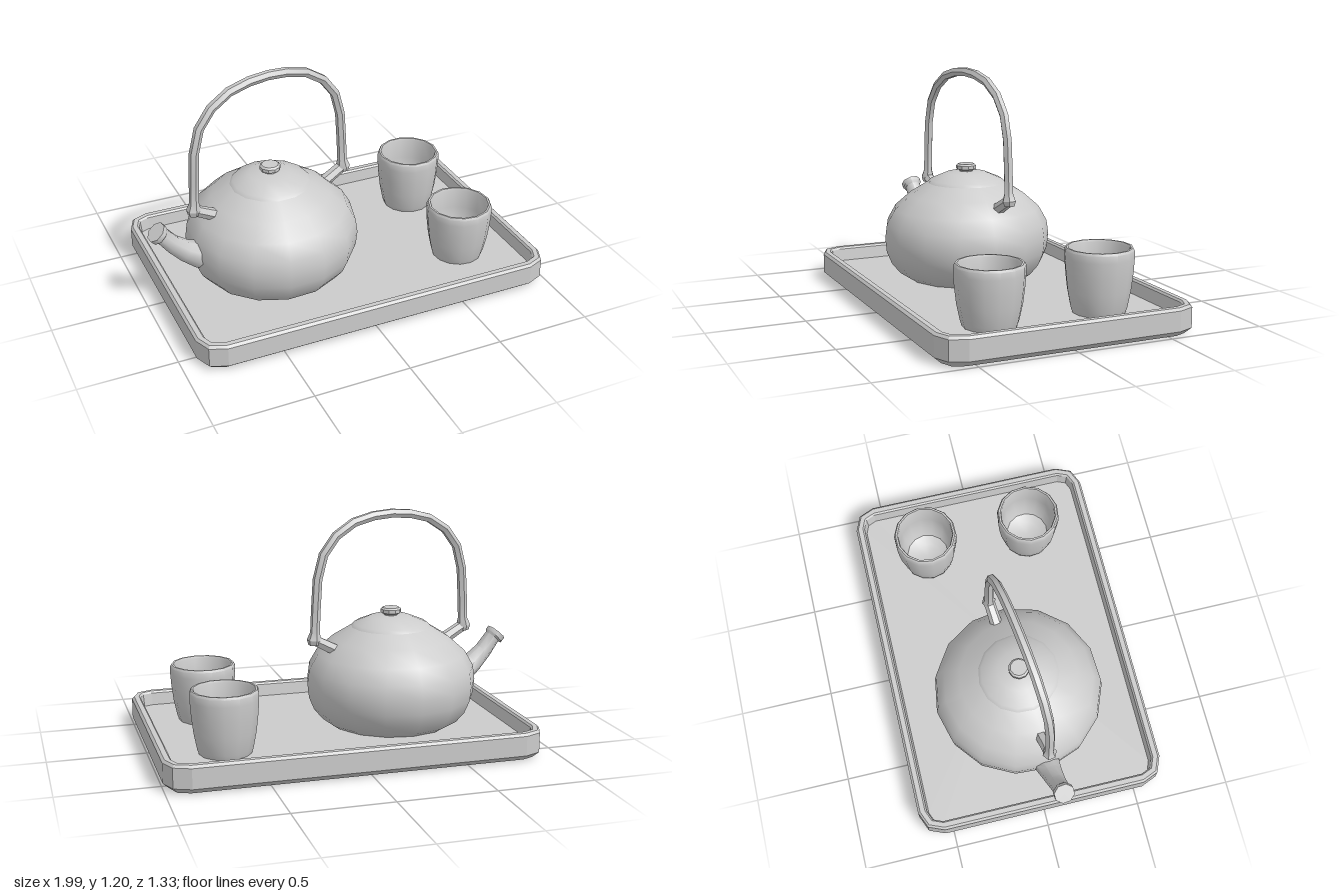
import * as THREE from 'three';
import { toCreasedNormals } from 'three/addons/utils/BufferGeometryUtils.js';

const material = new THREE.MeshStandardMaterial({ color: 0xcccccc });

function addMesh(parent, name, geometry, crease = 0.6) {
  const mesh = new THREE.Mesh(toCreasedNormals(geometry, crease), material);
  mesh.name = name;
  parent.add(mesh);
  return mesh;
}

function lathe(profile, segments, start = 0) {
  return new THREE.LatheGeometry(profile.map(([r, y]) => new THREE.Vector2(r, y)), segments, start);
}

// Skin over equal-length rings (counter-clockwise about the direction of travel), capped at both ends
function loft(rings) {
  const n = rings[0].length;
  const points = rings.flat();
  const index = [];
  for (let i = 0; i < rings.length - 1; i++) {
    for (let j = 0; j < n; j++) {
      const a = i * n + j, b = i * n + (j + 1) % n;
      index.push(a, b, a + n, b, b + n, a + n);
    }
  }
  const centre = ring => ring.reduce((s, p) => s.add(p), new THREE.Vector3()).divideScalar(n);
  const first = points.push(centre(rings[0])) - 1;
  const last = points.push(centre(rings[rings.length - 1])) - 1;
  const end = (rings.length - 1) * n;
  for (let j = 0; j < n; j++) {
    const k = (j + 1) % n;
    index.push(first, k, j, last, end + j, end + k);
  }
  const geometry = new THREE.BufferGeometry().setFromPoints(points);
  geometry.setIndex(index);
  return geometry;
}

// Tube of changing radius along a path in the xy plane; each point is [x, y, radius]
function sweep(path, sides) {
  return loft(path.map(([x, y, r], i) => {
    const p = path[Math.max(i - 1, 0)], q = path[Math.min(i + 1, path.length - 1)];
    const t = new THREE.Vector2(q[0] - p[0], q[1] - p[1]).normalize();
    return Array.from({ length: sides }, (_, j) => {
      const a = ((j + 0.5) / sides) * Math.PI * 2;
      const c = Math.cos(a) * r;
      return new THREE.Vector3(x - t.y * c, y + t.x * c, Math.sin(a) * r);
    });
  }));
}

// Rounded rectangle at a height, inset from the tray's outline
function trayRing([y, inset]) {
  const radius = 0.12 - inset, w = 0.96 - 0.12, d = 0.665 - 0.12;
  const ring = [];
  [[1, -1], [-1, -1], [-1, 1], [1, 1]].forEach(([sx, sz], corner) => {
    for (let k = 0; k <= 2; k++) {
      const a = (corner + k / 2) * Math.PI / 2;
      ring.push(new THREE.Vector3(0.04 + sx * w + Math.cos(a) * radius, y, sz * d - Math.sin(a) * radius));
    }
  });
  return ring;
}

const FLOOR = 0.07;

function createKettle() {
  const kettle = new THREE.Group();
  kettle.name = 'kettle';

  // Squat round body with a shallow lid
  addMesh(kettle, 'kettleBody', lathe([
    [0, FLOOR], [0.33, FLOOR], [0.37, 0.095], [0.415, 0.15], [0.442, 0.215], [0.45, 0.29],
    [0.44, 0.365], [0.395, 0.445], [0.31, 0.52], [0.21, 0.582],
  ], 15, 0.13));
  addMesh(kettle, 'lid', lathe([[0.21, 0.582], [0.195, 0.598], [0.11, 0.634], [0, 0.645]], 15, 0.13));
  addMesh(kettle, 'lidKnob', lathe([
    [0.036, 0.625], [0.036, 0.645], [0.054, 0.655], [0.054, 0.673], [0.044, 0.682], [0, 0.682],
  ], 10));

  // Upswept spout with a lip
  addMesh(kettle, 'spout', sweep([
    [-0.34, 0.25, 0.08], [-0.43, 0.285, 0.07], [-0.5, 0.33, 0.056], [-0.565, 0.39, 0.047],
    [-0.622, 0.462, 0.043], [-0.63, 0.466, 0.055], [-0.648, 0.486, 0.055],
  ], 8), 0.8);

  // Bail handle, mirrored about the middle of the arch
  const half = [
    [0.438, 0.52, 0.03], [0.438, 0.545, 0.038], [0.433, 0.585, 0.025], [0.428, 0.7, 0.025],
    [0.418, 0.86, 0.025], [0.385, 0.985, 0.025], [0.315, 1.078, 0.025], [0.215, 1.142, 0.025], [0.105, 1.17, 0.025],
  ];
  const mirrored = half.map(([x, y, r]) => [-x, y, r]).reverse();
  addMesh(kettle, 'handle', sweep([...half, [0, 1.178, 0.025], ...mirrored], 6), 0.5);

  // Lugs joining the handle to the body
  for (const s of [-1, 1]) {
    addMesh(kettle, s > 0 ? 'leftLug' : 'rightLug',
      sweep([[s * 0.27, 0.455, 0.034], [s * 0.4, 0.525, 0.03], [s * 0.445, 0.549, 0.03]], 6), 0.5);
  }
  return kettle;
}

function createCup(name, height, turn) {
  const h = height;
  const cup = addMesh(new THREE.Group(), name, lathe([
    [0, 0], [0.132, 0], [0.141, 0.025], [0.158, h * 0.35], [0.168, h * 0.62], [0.173, h * 0.85], [0.172, h - 0.012],
    [0.165, h], [0.155, h], [0.15, h - 0.012], [0.148, h * 0.62], [0.138, h * 0.35], [0.115, h * 0.17],
    [0.07, h * 0.1], [0, h * 0.08],
  ], 14, turn));
  return cup;
}

export function createModel() {
  const model = new THREE.Group();
  model.name = 'teaSet';

  // Tray with chamfered base, flat rim and sunken floor
  addMesh(model, 'tray', loft([
    [0, 0.035], [0.03, 0], [0.132, 0], [0.145, 0.012], [0.145, 0.038], [0.135, 0.047], [FLOOR, 0.055],
  ].map(trayRing)), 0.3);

  const kettle = createKettle();
  kettle.position.x = -0.306;
  kettle.rotation.y = 0.126;
  model.add(kettle);

  const frontCup = createCup('frontCup', 0.305, 0.1);
  frontCup.position.set(0.65, FLOOR, 0.29);
  const backCup = createCup('backCup', 0.325, 0.25);
  backCup.position.set(0.65, FLOOR, -0.295);
  model.add(frontCup, backCup);

  return model;
}
